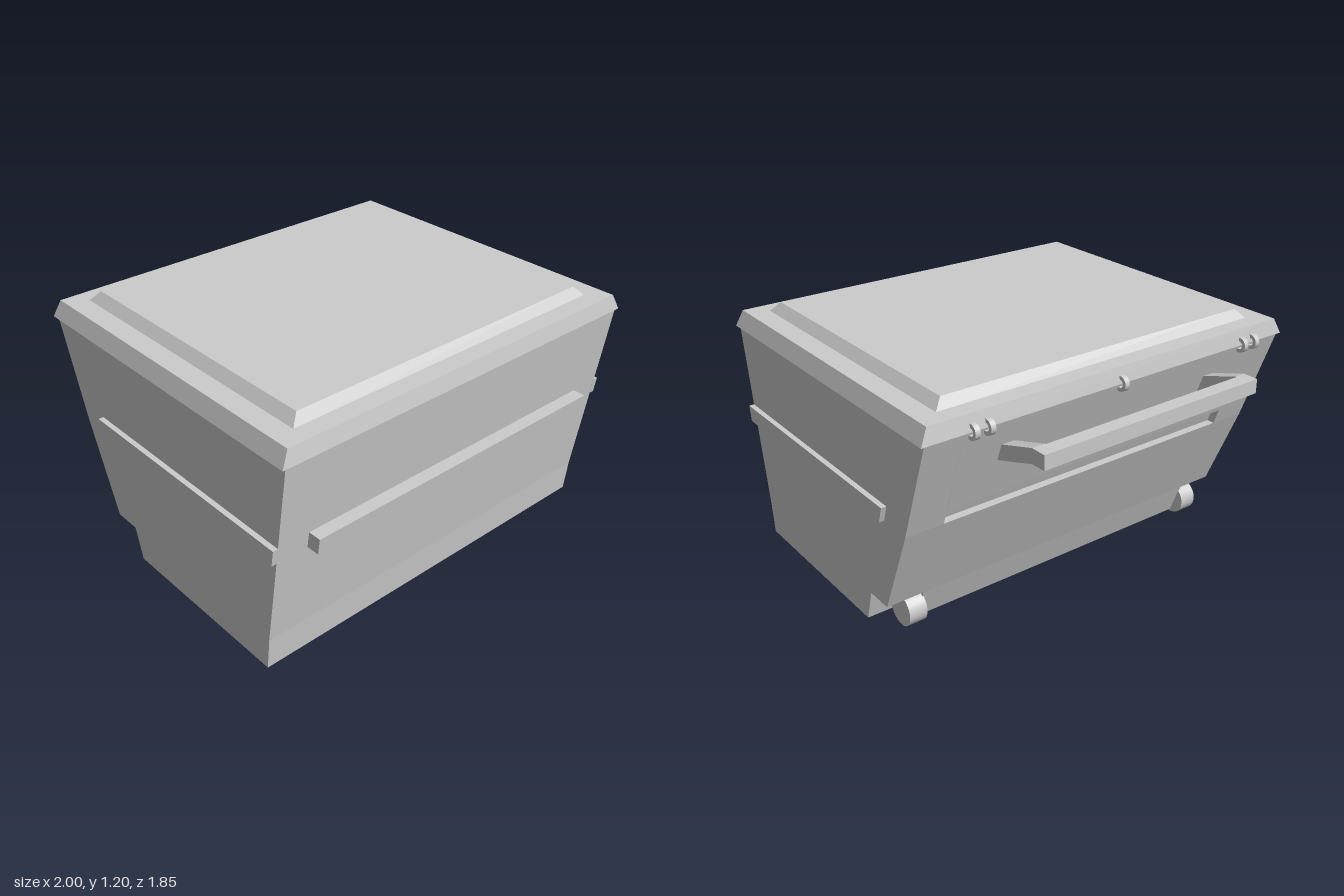
import * as THREE from 'three';

const material = new THREE.MeshStandardMaterial({ color: 0xcccccc });

function addMesh(parent, name, geometry) {
  const mesh = new THREE.Mesh(geometry, material);
  mesh.name = name;
  parent.add(mesh);
  return mesh;
}

// Side profile given as (z, y), extruded from x0 to x1
function extrudeX(shape, x0, x1) {
  const geometry = new THREE.ExtrudeGeometry(shape, { depth: x1 - x0, bevelEnabled: false, curveSegments: 8 });
  return geometry.rotateY(-Math.PI / 2).translate(x1, 0, 0);
}

function profile(points) {
  return new THREE.Shape(points.map(([z, y]) => new THREE.Vector2(z, y)));
}

// Box whose bottom and top rectangles differ: [halfWidth, zBack, zFront, y]
function frustum(bottom, top) {
  const geometry = new THREE.BoxGeometry(2, 2, 2);
  const p = geometry.attributes.position;
  for (let i = 0; i < p.count; i++) {
    const [w, back, front, y] = p.getY(i) > 0 ? top : bottom;
    p.setXYZ(i, p.getX(i) * w, y, p.getZ(i) > 0 ? front : back);
  }
  geometry.computeVertexNormals();
  return geometry;
}

export function createModel() {
  const model = new THREE.Group();
  model.name = 'wheeledBin';

  // Body: a middle section with a grip groove at the back, and ends cut away for the wheels
  const body = new THREE.Group();
  body.name = 'body';
  model.add(body);
  const inner = 0.79;
  const front = [[0.775, 0.01], [0.79, 0.17], [0.92, 1.09], [-0.70, 1.09]];
  const groove = [[-0.555, 0.685], [-0.515, 0.685], [-0.485, 0.605], [-0.525, 0.605]];
  const middle = profile([...front, ...groove, [-0.34, 0.167], [-0.28, 0.01]]);
  const end = profile([...front, [-0.525, 0.605], [-0.34, 0.167], [-0.205, 0.167], [-0.16, 0.01]]);
  addMesh(body, 'bodyMiddle', extrudeX(middle, -inner, inner));
  addMesh(body, 'bodyEndLeft', extrudeX(end, inner, 0.975));
  addMesh(body, 'bodyEndRight', extrudeX(end, -0.975, -inner));

  // Rails round the front and sides
  addMesh(model, 'frontRail', extrudeX(
    profile([[0.83, 0.61], [0.915, 0.61], [0.926, 0.688], [0.83, 0.688]]), -0.82, 0.82));
  const sideRail = profile([[0.853, 0.61], [0.864, 0.688], [-0.387, 0.688], [-0.363, 0.61]]);
  addMesh(model, 'sideRailLeft', extrudeX(sideRail, 0.97, 1));
  addMesh(model, 'sideRailRight', extrudeX(sideRail, -1, -0.97));

  // Lid with a raised centre panel
  addMesh(model, 'lid', frustum([0.993, -0.705, 0.925, 1.083], [0.957, -0.69, 0.91, 1.157]));
  addMesh(model, 'lidPanel', frustum([0.86, -0.605, 0.825, 1.155], [0.815, -0.57, 0.79, 1.2]));

  // Wheels in the rear cut-outs
  for (const side of [1, -1]) {
    const wheel = addMesh(model, side > 0 ? 'wheelLeft' : 'wheelRight',
      new THREE.CylinderGeometry(0.079, 0.079, 0.09, 28).rotateZ(Math.PI / 2));
    wheel.position.set(side * 0.83, 0.079, -0.28);
  }

  // Push handle: two bent arms and a crossbar
  const handle = new THREE.Group();
  handle.name = 'handle';
  handle.rotation.y = 0.006;
  model.add(handle);
  const arm = profile([[-0.62, 0.876], [-0.65, 0.958], [-0.845, 1.02], [-0.86, 1.02], [-0.86, 0.952], [-0.85, 0.952]]);
  addMesh(handle, 'handleArmLeft', extrudeX(arm, 0.53, 0.592));
  addMesh(handle, 'handleArmRight', extrudeX(arm, -0.6, -0.545));
  addMesh(handle, 'handleBar', extrudeX(
    profile([[-0.85, 0.952], [-0.85, 1.02], [-0.92, 1.02], [-0.92, 0.952]]), -0.6, 0.592));

  // Hinge hooks curling down from the back of the lid
  const hook = new THREE.Shape();
  hook.moveTo(-0.68, 1.12);
  hook.lineTo(-0.705, 1.12);
  hook.absarc(-0.703, 1.085, 0.035, Math.PI / 2, Math.PI * 1.5, false);
  hook.lineTo(-0.69, 1.05);
  hook.lineTo(-0.69, 1.067);
  hook.absarc(-0.703, 1.085, 0.018, Math.PI * 1.5, Math.PI / 2, true);
  hook.lineTo(-0.68, 1.103);
  for (const x of [-0.8, -0.728, -0.002, 0.685, 0.758]) {
    addMesh(model, 'hingeHook', extrudeX(hook, x - 0.012, x + 0.012));
  }

  return model;
}
